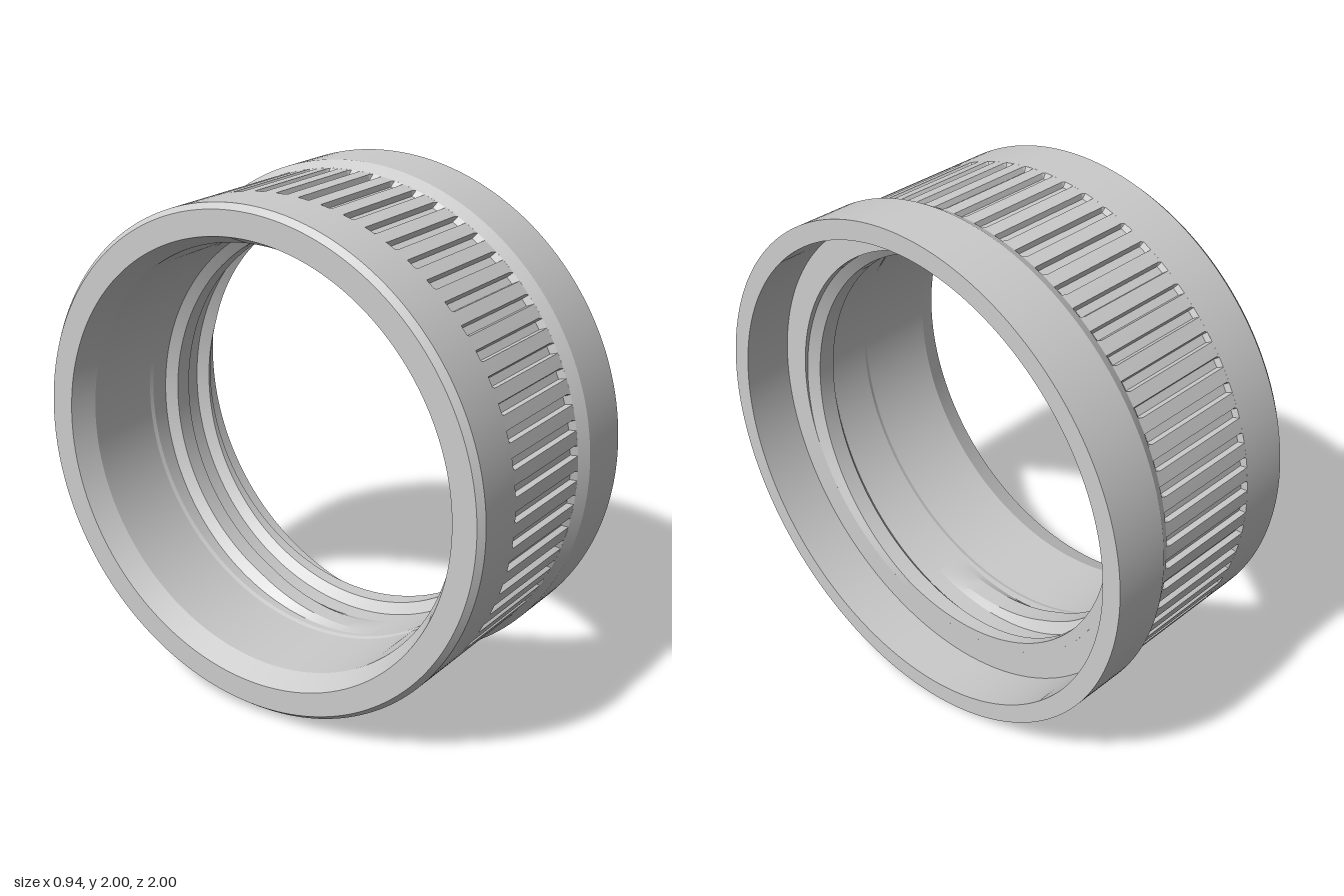
import * as THREE from 'three';
import { toCreasedNormals } from 'three/addons/utils/BufferGeometryUtils.js';

const material = new THREE.MeshStandardMaterial({ color: 0xcccccc });
const TURN = Math.PI * 2;
const BORE = 0.815;

function addMesh(group, name, geometry) {
  const mesh = new THREE.Mesh(toCreasedNormals(geometry, 0.3), material);
  mesh.name = name;
  mesh.position.y = 1;
  group.add(mesh);
}

// Revolve [radius, x] points about the x axis.
function revolve(points) {
  const profile = points.map(([r, x]) => new THREE.Vector2(r, x));
  return new THREE.LatheGeometry(profile, 192).rotateZ(-Math.PI / 2);
}

// Skin rows of points around the x axis; each row maps (angle, j) to [x, radius].
function skin(rows, angles) {
  const n = angles.length, positions = [], index = [];
  for (const row of rows) {
    angles.forEach((a, j) => {
      const [x, r] = row(a, j);
      positions.push(x, r * Math.cos(a), r * Math.sin(a));
    });
  }
  for (let i = 0; i < rows.length - 1; i++) {
    for (let j = 0; j < n - 1; j++) {
      const p = i * n + j, q = p + n;
      index.push(p, p + 1, q + 1, p, q + 1, q);
    }
  }
  const geometry = new THREE.BufferGeometry();
  geometry.setAttribute('position', new THREE.Float32BufferAttribute(positions, 3));
  geometry.setIndex(index);
  return geometry;
}

// Grip band: 64 flat-bottomed lengthwise grooves with steep walls.
function gripBand() {
  const count = 64, fractions = [0, 0.07, 0.39, 0.46], angles = [];
  for (let i = 0; i < count; i++) {
    for (const f of fractions) angles.push(((i + f - 0.23) / count) * TURN);
  }
  angles.push(angles[0] + TURN);
  const plain = (x) => () => [x, 0.975];
  const grooved = (x) => (a, j) => [x, j % 4 === 1 || j % 4 === 2 ? 0.955 : 0.975];
  return skin([plain(-0.25), grooved(-0.24), grooved(0.18), plain(0.2)], angles);
}

// Helical ridge on the bore, cut off flush at the step and fading out at its inner end.
function threadRidge() {
  const pitch = 0.2, limit = 0.27, crest = 0.035, foot = 0.065, height = 0.04;
  const first = TURN * 0.625;
  const last = first + TURN * (foot / pitch);
  const turns = 1.5, steps = 240;
  const angles = Array.from({ length: steps + 1 }, (_, j) => last - TURN * turns * (1 - j / steps));
  const row = (offset) => (a, j) => {
    const center = limit + (pitch * (a - first)) / TURN;
    const x = Math.min(center + offset, limit);
    const slope = THREE.MathUtils.clamp((foot - Math.abs(x - center)) / (foot - crest), 0, 1);
    const fade = Math.min(1, j / (steps * 0.08));
    const isRightFoot = offset === foot;
    return [x, BORE - (isRightFoot ? 0 : height * slope * fade)];
  };
  return skin([foot, crest, -crest, -foot].map(row), angles);
}

export function createModel() {
  const group = new THREE.Group();
  group.name = 'threadedRing';

  // Bore, bevelled mouth, end face and plain collar
  addMesh(group, 'collar', revolve([
    [BORE, 0.27], [BORE, -0.045], [0.82, -0.06], [0.82, -0.38], [0.86, -0.47],
    [0.955, -0.47], [0.975, -0.445], [0.975, -0.25],
  ]));

  addMesh(group, 'gripBand', gripBand());

  // Flared flange with counterbore and inner step
  addMesh(group, 'flange', revolve([
    [0.975, 0.2], [1, 0.245], [1, 0.47], [0.925, 0.47], [0.925, 0.27], [BORE, 0.27],
  ]));

  addMesh(group, 'threadRidge', threadRidge());

  return group;
}
